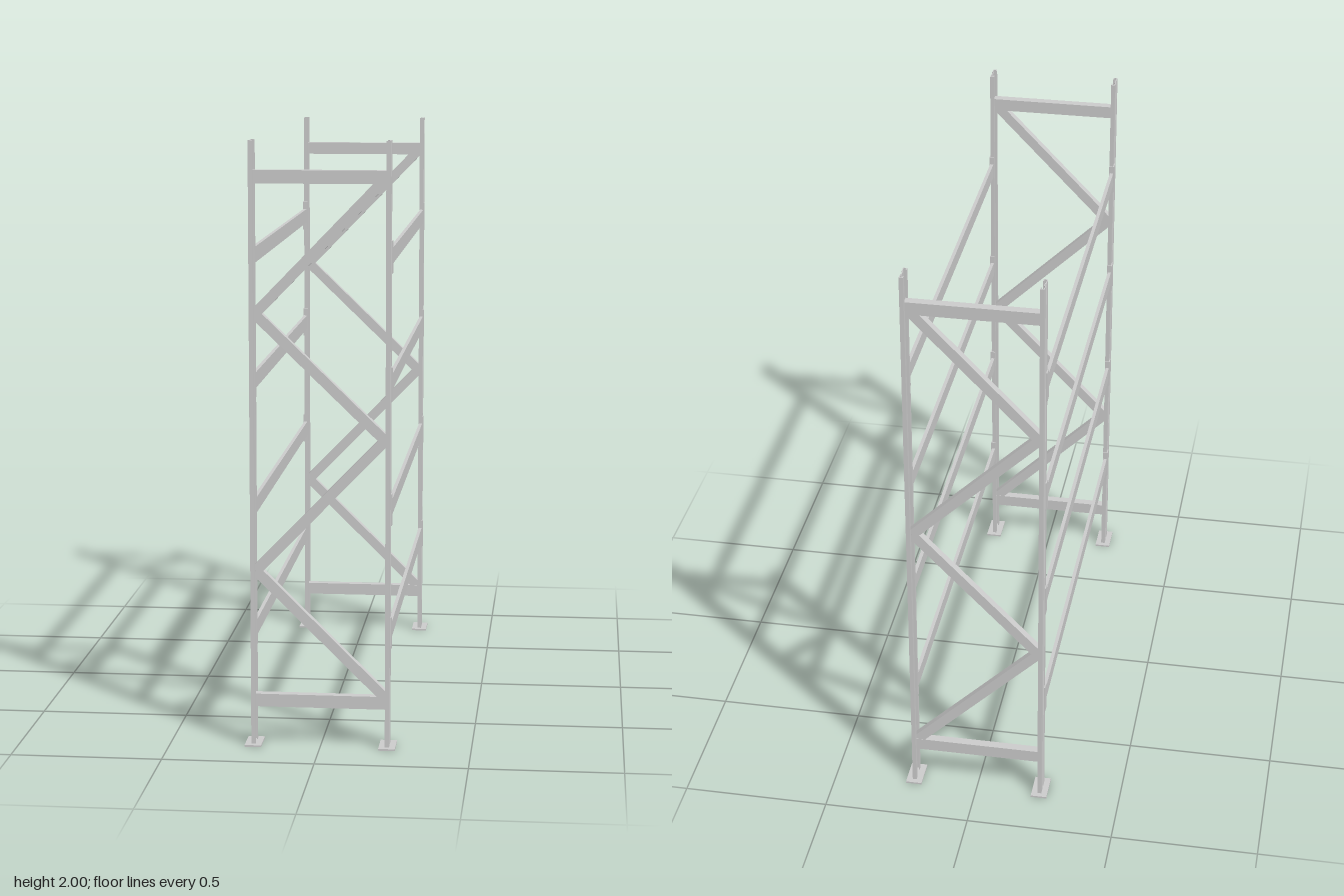
import * as THREE from 'three';

const steel = new THREE.MeshStandardMaterial({ color: 0xcccccc, flatShading: true });
const FRAME_Z = 0.787, POST_X = 0.222, HEIGHT = 2;

function box(parent, name, size, pos) {
  const mesh = new THREE.Mesh(new THREE.BoxGeometry(...size), steel);
  mesh.name = name;
  mesh.position.set(...pos);
  parent.add(mesh);
  return mesh;
}

// Folded channel with a shallow groove outside and lips facing inward
function uprightGeometry(side) {
  const half = [
    [0.2265, 0.007], [0.229, 0.009], [0.229, 0.034], [0.215, 0.034], [0.215, 0.02],
    [0.218, 0.02], [0.218, 0.031], [0.226, 0.031], [0.226, 0.011], [0.2235, 0.009],
  ];
  const outline = [...half, ...half.map(([x, z]) => [x, -z]).reverse()];
  const shape = new THREE.Shape(outline.map(([x, z]) => new THREE.Vector2(side * x, z)));
  const geo = new THREE.ExtrudeGeometry(shape, { depth: HEIGHT, bevelEnabled: false });
  return geo.rotateX(-Math.PI / 2);
}

// Two posts with foot plates, joined by level and zigzag braces
function endFrame(z) {
  const frame = new THREE.Group();
  frame.name = 'endFrame';
  for (const side of [-1, 1]) {
    const post = new THREE.Mesh(uprightGeometry(side), steel);
    post.name = 'upright';
    frame.add(post);
    box(frame, 'footPlate', [0.055, 0.006, 0.103], [side * POST_X, 0.003, 0]);
  }
  for (const y of [0.151, 1.883]) box(frame, 'levelBrace', [0.438, 0.043, 0.03], [0, y, 0]);

  const nodes = [0.17, 0.59, 1.03, 1.44, 1.88];
  for (let i = 0; i < nodes.length - 1; i++) {
    const dir = i % 2 ? 1 : -1; // even braces rise towards -x
    const dx = 0.425 * dir, dy = nodes[i + 1] - nodes[i];
    const brace = box(frame, 'diagonalBrace', [Math.hypot(dx, dy), 0.034, 0.028],
      [0, (nodes[i] + nodes[i + 1]) / 2, 0]);
    brace.rotation.z = Math.atan2(dy, dx);
  }
  frame.position.z = z;
  return frame;
}

// Long beam with an angled connector at each end
function shelfBeam(side, y) {
  const beam = new THREE.Group();
  beam.name = 'shelfBeam';
  box(beam, 'beam', [0.012, 0.052, 1.5], [side * 0.224, 0, 0]);
  for (const end of [-1, 1]) {
    box(beam, 'connectorFace', [0.004, 0.106, 0.029], [side * 0.231, 0, end * 0.7635]);
    box(beam, 'connectorFlange', [0.018, 0.106, 0.004], [side * 0.224, 0, end * 0.751]);
  }
  beam.position.y = y;
  return beam;
}

export function createModel() {
  const rack = new THREE.Group();
  rack.name = 'storageRack';
  for (const z of [-FRAME_Z, FRAME_Z]) rack.add(endFrame(z));
  for (const y of [0.383, 0.797, 1.214, 1.626]) {
    for (const side of [-1, 1]) rack.add(shelfBeam(side, y));
  }
  return rack;
}
